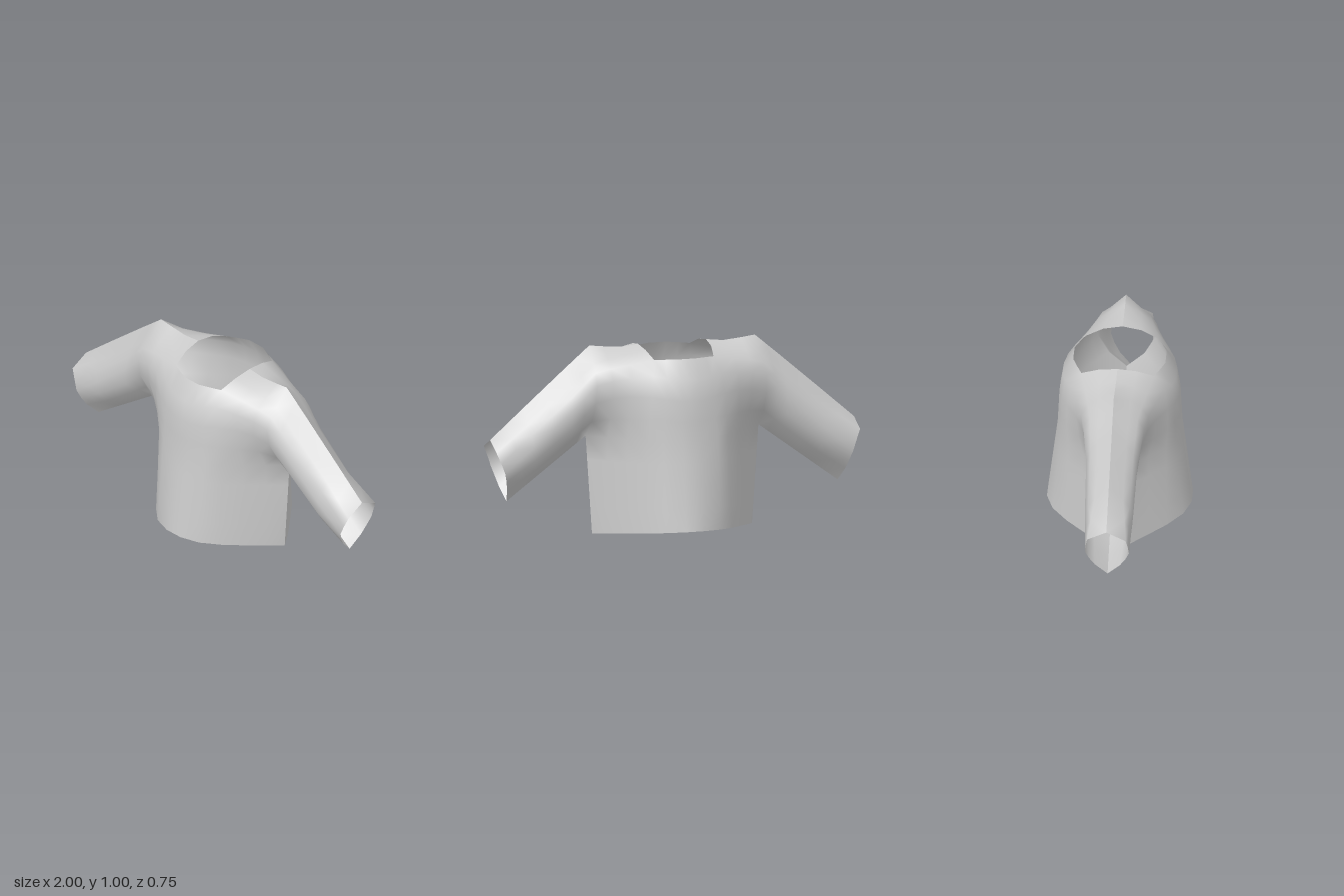
import * as THREE from 'three';

const ROWS = 7;     // rows from the shoulder line down to the underarm
const LOWER = 4;    // extra rows from the underarm down to the hem
const STEPS = 2;    // columns between two sleeve sections
const lerp = THREE.MathUtils.lerp;

// Body sections, centre to armhole: top x, bottom x, then [y, z, own x] down to the underarm.
// Short sections start lower, which leaves the neck open.
const centre = [[.94, .24], [.84, .295], [.73, .312], [.62, .317], [.52, .322]];
const sections = [
  [0, 0, centre],
  [.05, .05, centre],
  [.11, .15, [[.938, .215], [.85, .277], [.74, .293], [.63, .296], [.52, .298]]],
  [.187, .22, [[.988, 0], [.973, .1, .18], [.935, .19, .163], [.86, .245, .185], [.75, .262, .2], [.63, .264, .21], [.52, .255]]],
  [.28, .305, [[.978, 0], [.952, .09], [.91, .16], [.845, .205], [.75, .208], [.63, .195], [.52, .17]]],
  [.38, .385, [[.987, 0], [.933, .085], [.892, .14], [.832, .175], [.74, .17], [.625, .135], [.52, .088]]],
  [.455, .475, [[.996, 0], [.91, .08], [.872, .125], [.81, .158], [.715, .147], [.61, .093], [.52, 0]]],
];
// Hem [x, z] under each body section
const hem = [[0, .377], [.05, .377], [.15, .34], [.24, .26], [.31, .175], [.39, .075], [.44, 0]];
// Sleeve sections below the armhole, each from the ridge to the underside; the last is the cuff
const sleeve = [
  [[.593, .88, 0], [.592, .793, .075], [.591, .745, .113], [.59, .68, .134], [.588, .59, .127], [.586, .515, .08], [.584, .44, 0]],
  [[.815, .69, 0], [.815, .61, .074], [.81, .56, .108], [.8, .5, .126], [.79, .43, .12], [.778, .37, .08], [.762, .309, 0]],
  [[1, .53, 0], [1, .48, .1], [.975, .42, .11], [.957, .37, .115], [.942, .32, .095], [.93, .27, .065], [.91, .2, 0]],
];

// Columns of points from the centre line out to the cuff, each with its first row
function halfColumns() {
  const columns = sections.map(([xTop, xBottom, profile], i) => {
    const first = ROWS - profile.length;
    const points = profile.map(([y, z, x], r) => [x ?? lerp(xTop, xBottom, r / (profile.length - 1)), y, z]);
    const [x0, y0, z0] = points[points.length - 1];
    const [hx, hz] = hem[i];
    for (let k = 1; k <= LOWER; k++) {
      const t = k / LOWER;
      points.push([lerp(x0, hx, t), lerp(y0, .05 * hz / .377, t), lerp(z0, hz, t)]);
    }
    return { first, points };
  });
  let from = columns[columns.length - 1].points;
  for (const to of sleeve) {
    for (let k = 1; k <= STEPS; k++) {
      const points = to.map((p, r) => p.map((v, axis) => lerp(from[r][axis], v, k / STEPS)));
      columns.push({ first: 0, points });
    }
    from = to;
  }
  return columns;
}

// One cloth panel running from cuff to cuff; side is 1 for front, -1 for back
function panelGeometry(side) {
  const half = halfColumns();
  const mirrored = half.slice(1).reverse().map(({ first, points }) =>
    ({ first, points: points.map(([x, y, z]) => [-x, y, z]) }));
  const columns = [...mirrored, ...half];
  const positions = [], starts = [], indices = [];
  for (const { first, points } of columns) {
    starts.push(positions.length / 3 - first);
    for (const [x, y, z] of points) positions.push(x, y, z * side);
  }
  for (let c = 0; c + 1 < columns.length; c++) {
    const p = columns[c], q = columns[c + 1];
    const last = Math.min(p.first + p.points.length, q.first + q.points.length) - 1;
    for (let r = Math.max(p.first, q.first); r < last; r++) {
      const a = starts[c] + r, d = starts[c + 1] + r;
      const b = a + 1, e = d + 1;
      // diagonals mirror about the centre line
      const tris = c < mirrored.length ? [a, b, e, a, e, d] : [a, b, d, b, e, d];
      if (side < 0) tris.reverse();
      indices.push(...tris);
    }
  }
  const geometry = new THREE.BufferGeometry();
  geometry.setAttribute('position', new THREE.Float32BufferAttribute(positions, 3));
  geometry.setIndex(indices);
  geometry.computeVertexNormals();
  return geometry;
}

export function createModel() {
  const group = new THREE.Group();
  group.name = 'shirt';
  const cloth = new THREE.MeshStandardMaterial({ color: 0xcccccc, side: THREE.DoubleSide });
  cloth.name = 'grey cloth';
  for (const [name, side] of [['frontPanel', 1], ['backPanel', -1]]) {
    const mesh = new THREE.Mesh(panelGeometry(side), cloth);
    mesh.name = name;
    group.add(mesh);
  }
  return group;
}
